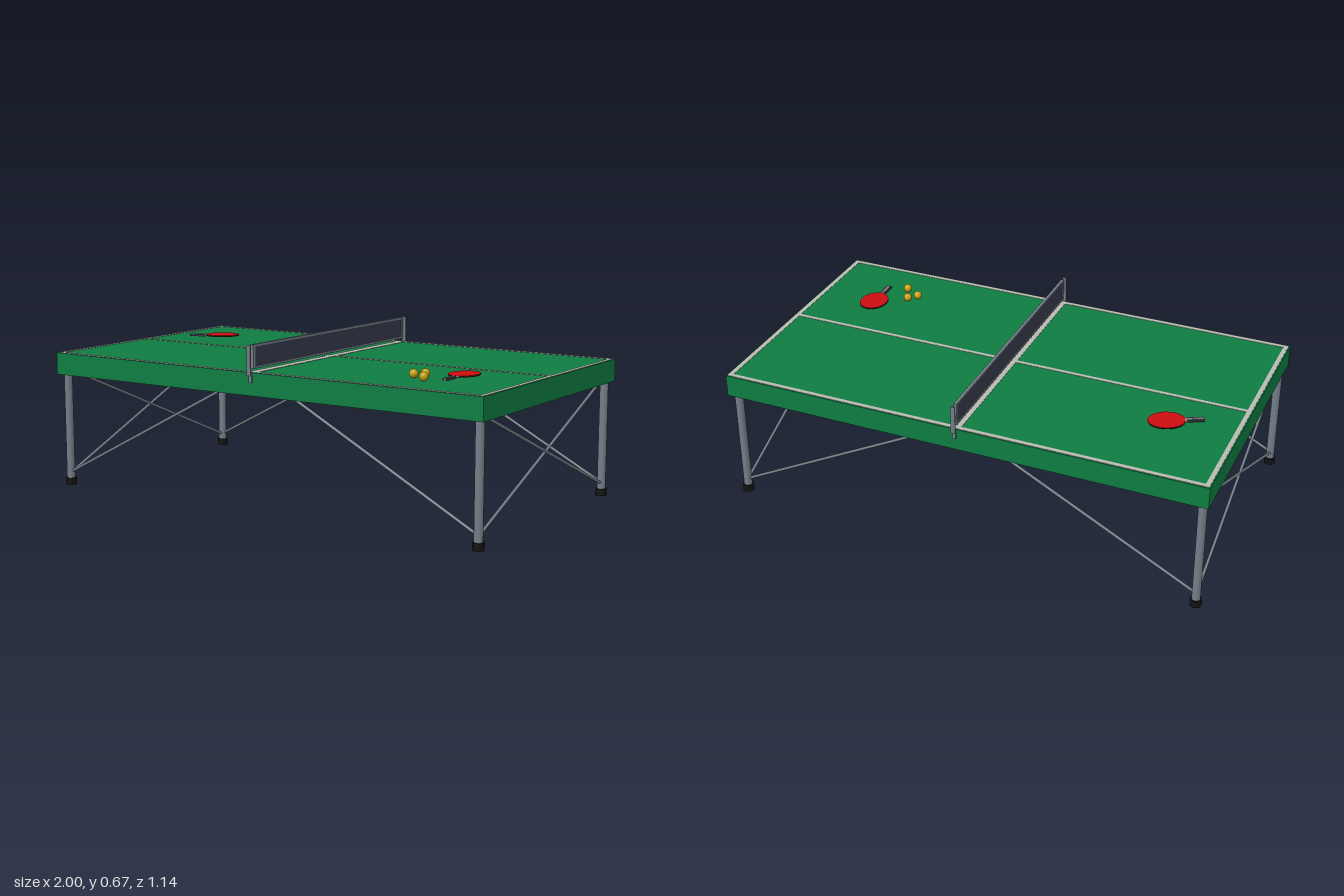
import * as THREE from 'three';

const mat = (name, color, side = THREE.FrontSide) => {
  const m = new THREE.MeshStandardMaterial({ color, side });
  m.name = name;
  return m;
};

export function createModel() {
  const green = mat('table green', 0x0e7c42);
  const white = mat('line white', 0xb9b9b2);
  const steel = mat('steel', 0x737d87);
  const black = mat('rubber black', 0x121212);
  const navy = mat('net navy', 0x363b4b);
  const red = mat('paddle red', 0xcc0d10);
  const yellow = mat('ball yellow', 0xc8a210);
  const dark = mat('grip dark', 0x3a3a3c);

  const model = new THREE.Group();
  model.name = 'tableTennisTable';

  const add = (name, geometry, material, x = 0, y = 0, z = 0, parent = model) => {
    const mesh = new THREE.Mesh(geometry, material);
    mesh.name = name;
    mesh.position.set(x, y, z);
    parent.add(mesh);
    return mesh;
  };
  const box = (name, w, h, d, material, x, y, z, parent) =>
    add(name, new THREE.BoxGeometry(w, h, d), material, x, y, z, parent);
  const rod = (name, a, b, radius, material) => {
    const from = new THREE.Vector3(...a), to = new THREE.Vector3(...b);
    const dir = to.clone().sub(from);
    const mesh = add(name, new THREE.CylinderGeometry(radius, radius, dir.length(), 10), material);
    mesh.position.copy(from).add(to).multiplyScalar(0.5);
    mesh.quaternion.setFromUnitVectors(new THREE.Vector3(0, 1, 0), dir.normalize());
  };

  const TOP = 0.558, BOTTOM = 0.468, HALF_W = 0.555;
  const rimY = (TOP + BOTTOM) / 2, rimH = TOP - BOTTOM;

  // Table top: thin panel with a hanging rim and a middle beam
  box('tabletop', 2, 0.02, HALF_W * 2, green, 0, TOP - 0.01, 0);
  box('middleBeam', 0.024, rimH - 0.01, HALF_W * 2 - 0.02, green, 0, rimY - 0.005, 0);
  for (const s of [-1, 1]) {
    box('sideRim', 2, rimH - 0.02, 0.012, green, 0, rimY - 0.01, s * (HALF_W - 0.006));
    box('endRim', 0.012, rimH - 0.02, HALF_W * 2 - 0.024, green, s * 0.994, rimY - 0.01, 0);
  }

  // Painted lines
  const lineY = TOP + 0.0005;
  for (const s of [-1, 1]) {
    box('sideLine', 1.99, 0.002, 0.018, white, 0, lineY, s * 0.541);
    box('endLine', 0.018, 0.002, 1.064, white, s * 0.986, lineY, 0);
    box('centreLine', 0.959, 0.002, 0.016, white, s * 0.4975, lineY, 0);
  }
  box('netLine', 0.036, 0.002, 1.064, white, 0, lineY, 0);

  // Legs, feet and diagonal braces
  for (const sx of [-1, 1]) {
    for (const sz of [-1, 1]) {
      const x = sx * 0.97, z = sz * 0.521;
      add('leg', new THREE.CylinderGeometry(0.017, 0.017, 0.52, 20), steel, x, 0.28, z);
      add('foot', new THREE.CylinderGeometry(0.023, 0.023, 0.029, 20), black, x, 0.0145, z);
      rod('endBrace', [x, 0.052, sz * 0.515], [x, 0.488, -sz * 0.515], 0.006, steel);
      rod('longBrace', [sx * 0.965, 0.055, z], [sx * 0.03, 0.545, z], 0.006, steel);
    }
  }

  // Net panel, its frame and the clamp posts
  box('netPanel', 0.006, 0.082, 1.08, navy, 0, 0.618, 0);
  box('netTopBar', 0.012, 0.009, 1.094, steel, 0, 0.6605, 0);
  box('netBottomBar', 0.012, 0.008, 1.094, steel, 0, 0.576, 0);
  for (const s of [-1, 1]) {
    box('netEndBar', 0.012, 0.077, 0.013, steel, 0, 0.618, s * 0.5405);
    box('netPost', 0.018, 0.115, 0.006, steel, 0, 0.6075, s * 0.568);
    box('postBracket', 0.018, 0.006, 0.015, steel, 0, 0.55, s * 0.5635);
    box('postClamp', 0.014, 0.034, 0.006, steel, 0, 0.536, s * 0.559);
  }

  // Paddles: handle points along local +z
  const blade = (height) => {
    const g = new THREE.CylinderGeometry(0.057, 0.057, height, 36);
    return g.scale(1, 1, 0.072 / 0.057);
  };
  const paddle = (x, z, turn) => {
    const p = new THREE.Group();
    p.name = 'paddle';
    p.position.set(x, 0.571, z);
    p.rotation.y = turn;
    model.add(p);
    add('bladeCore', blade(0.004), black, 0, 0, 0, p);
    add('bladeRubber', blade(0.002), red, 0, 0.003, 0, p);
    const neck = new THREE.CylinderGeometry(0.021, 0.012, 0.02, 4, 1);
    neck.rotateY(Math.PI / 4).rotateX(-Math.PI / 2).scale(1, 0.25, 1);
    add('neck', neck, white, 0, 0, 0.075, p);
    box('handle', 0.01, 0.011, 0.068, steel, 0, -0.001, 0.111, p);
    for (const s of [-1, 1]) box('grip', 0.006, 0.009, 0.066, dark, s * 0.008, -0.001, 0.111, p);
  };
  paddle(0.735, 0.215, 0);
  paddle(-0.72, -0.205, -1.09);

  // Balls
  for (const [x, z] of [[0.583, 0.328], [0.614, 0.294], [0.651, 0.37]]) {
    add('ball', new THREE.SphereGeometry(0.0175, 16, 12), yellow, x, 0.576, z);
  }

  return model;
}
